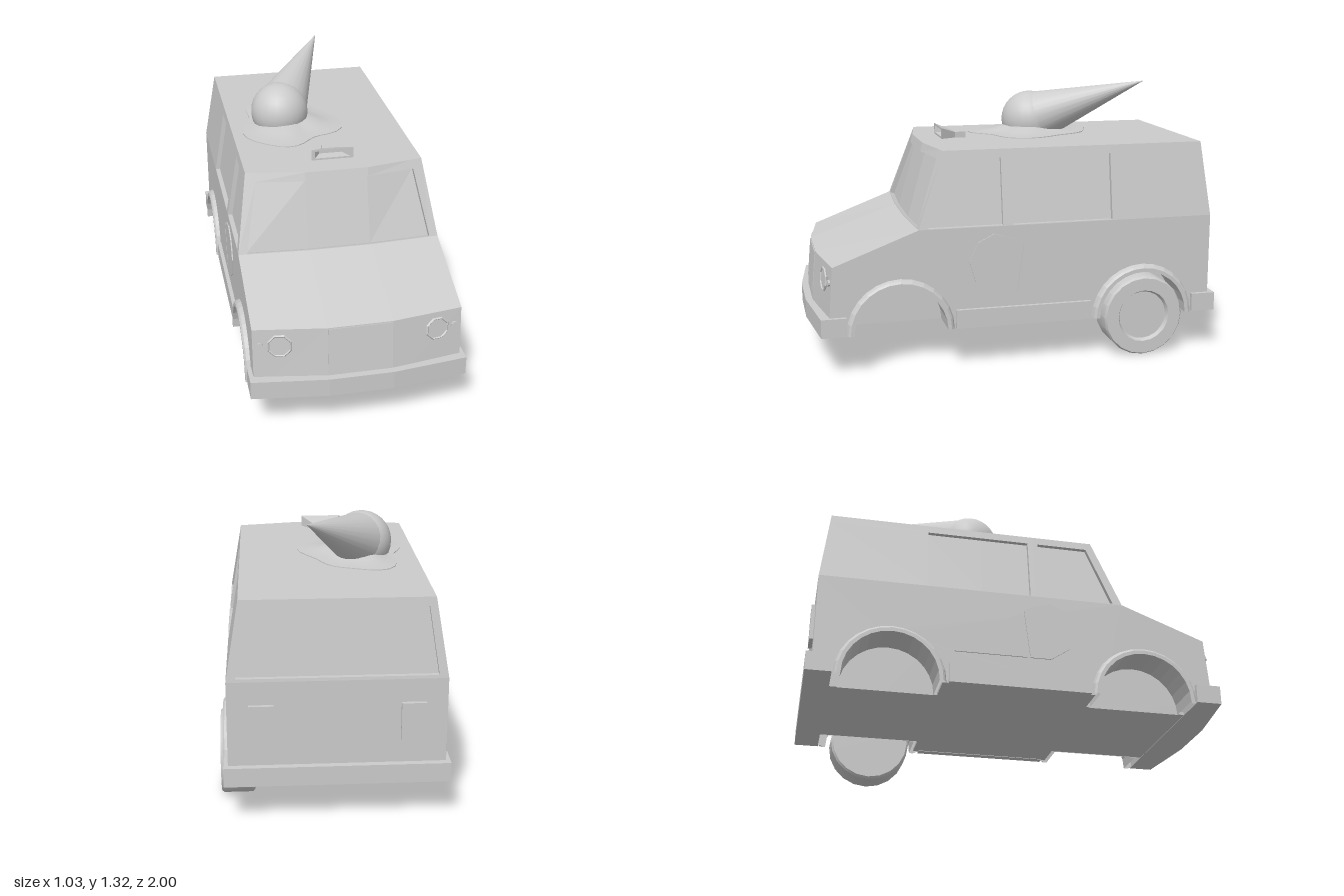
import * as THREE from 'three';
import { toCreasedNormals } from 'three/addons/utils/BufferGeometryUtils.js';

const smooth = new THREE.MeshStandardMaterial({ color: 0xcccccc, side: THREE.DoubleSide });
const flat = new THREE.MeshStandardMaterial({ color: 0xcccccc, side: THREE.DoubleSide, flatShading: true });
const V = (x, y, z) => new THREE.Vector3(x, y, z);

function add(parent, name, geometry, x = 0, y = 0, z = 0, material = flat) {
  const mesh = new THREE.Mesh(geometry, material);
  mesh.name = name;
  mesh.position.set(x, y, z);
  parent.add(mesh);
  return mesh;
}

// Flat faces from a list of four-cornered patches
function quads(list) {
  const pts = [];
  for (const [a, b, c, d] of list) pts.push(a, b, c, a, c, d);
  const g = new THREE.BufferGeometry().setFromPoints(pts);
  g.computeVertexNormals();
  return g;
}

// Skin over rows of points
function loft(rows) {
  const list = [];
  for (let j = 0; j + 1 < rows.length; j++)
    for (let i = 0; i + 1 < rows[j].length; i++)
      list.push([rows[j][i], rows[j][i + 1], rows[j + 1][i + 1], rows[j + 1][i]]);
  return quads(list);
}

// Framed panel between two edges, with a sunken pane; the first and last columns are the frame
function windowPanel(bottom, top, v0, v1, inward) {
  const rows = [0, v0, v1, 1].map(v => bottom.map((p, i) => p.clone().lerp(top[i], v)));
  const n = bottom.length, list = [];
  const low = rows[1].map(p => p.clone().add(inward)), high = rows[2].map(p => p.clone().add(inward));
  for (let j = 0; j < 3; j++)
    for (let i = 0; i + 1 < n; i++) {
      if (j === 1 && i > 0 && i < n - 2) {
        list.push([low[i], low[i + 1], high[i + 1], high[i]]);
        list.push([rows[1][i], rows[1][i + 1], low[i + 1], low[i]]);
        list.push([high[i], high[i + 1], rows[2][i + 1], rows[2][i]]);
      } else list.push([rows[j][i], rows[j][i + 1], rows[j + 1][i + 1], rows[j + 1][i]]);
    }
  for (const i of [1, n - 2]) list.push([rows[1][i], low[i], high[i], rows[2][i]]);
  return quads(list);
}

// Row of points across the bowed front
const bow = (y, half, zMid, zSide) =>
  [V(-half, y, zSide), V(-0.15, y, zMid), V(0.15, y, zMid), V(half, y, zSide)];

// Bowed row with two extra columns for the windscreen frame
function bowFramed(y, half, zMid, zSide, pane) {
  const r = bow(y, half, zMid, zSide);
  const t = (pane - 0.15) / (half - 0.15);
  return [r[0], r[1].clone().lerp(r[0], t), r[1], r[2], r[2].clone().lerp(r[3], t), r[3]];
}

const WELLS = [0.58, -0.62], HALF = 0.485, ROOF = 0.425, WAIST = 0.685, TOP = 1.045;

function bodySide() {
  const g = new THREE.Group();
  // Lower side with round wheel openings, drawn as (z, y)
  const s = new THREE.Shape();
  s.moveTo(0.92, 0.2);
  s.lineTo(0.895, 0.53);
  s.lineTo(0.49, WAIST);
  s.lineTo(-0.97, WAIST);
  s.lineTo(-0.97, 0.2);
  for (const z of [...WELLS].reverse()) s.absarc(z, 0.2, 0.235, Math.PI, 0, true);
  add(g, 'lowerSide', new THREE.ShapeGeometry(s, 8).rotateY(-Math.PI / 2), HALF);

  // Upper side: door window and cargo window
  const row = (x, y, zs) => zs.map(z => V(x, y, z));
  const inward = V(-0.022, 0, 0);
  add(g, 'doorWindow', windowPanel(row(HALF, WAIST, [0.49, 0.445, 0.085, 0.06]),
    row(ROOF, TOP, [0.36, 0.32, 0.085, 0.06]), 0.01, 0.89, inward));
  add(g, 'cargoWindow', windowPanel(row(HALF, WAIST, [0.06, 0.035, -0.2, -0.46, -0.97]),
    row(ROOF, TOP, [0.06, 0.035, -0.2, -0.46, -0.93]), 0.01, 0.89, inward));

  // Flared arch and wheel well turned in one piece
  const profile = [[0.257, 0], [0.25, 0.018], [0.24, 0.026], [0.222, 0.026], [0.222, -0.16], [0, -0.16]]
    .map(p => new THREE.Vector2(...p));
  for (const z of WELLS)
    add(g, 'wheelArch', new THREE.LatheGeometry(profile, 14, -Math.PI / 2, Math.PI)
      .rotateX(-Math.PI / 2).rotateY(-Math.PI / 2), HALF, 0.2, z);

  add(g, 'sideSkirt', new THREE.BoxGeometry(0.04, 0.09, 0.67), 0.484, 0.245, -0.018);
  add(g, 'sideFloor', new THREE.BoxGeometry(0.16, 0.015, 0.72), 0.4, 0.21, -0.02);

  // Raised cone-and-scoop emblem
  const scoop = new THREE.Shape([[0.03, 0.36], [0.13, 0.36], [0.22, 0.42], [0.25, 0.52], [0.21, 0.61],
    [0.13, 0.65], [0.03, 0.62], [0, 0.6]].map(p => new THREE.Vector2(...p)));
  const cone = new THREE.Shape([[0.015, 0.36], [-0.015, 0.59], [-0.33, 0.36]].map(p => new THREE.Vector2(...p)));
  for (const [name, shape] of [['scoopPanel', scoop], ['conePanel', cone]])
    add(g, name, new THREE.ExtrudeGeometry(shape, { depth: 0.01, bevelEnabled: false })
      .rotateY(-Math.PI / 2), HALF + 0.006);

  // Front and rear lamps
  const turn = 0.148;
  const lamp = add(g, 'headlight', new THREE.CylinderGeometry(0.05, 0.05, 0.02, 8)
    .rotateY(Math.PI / 8).rotateX(Math.PI / 2), 0.365, 0.45, 0.916);
  const rim = add(g, 'headlightRim', new THREE.TorusGeometry(0.054, 0.006, 4, 8)
    .rotateZ(Math.PI / 8), 0.365, 0.45, 0.925);
  const signal = add(g, 'turnSignal', new THREE.CylinderGeometry(0.016, 0.016, 0.02, 10)
    .rotateX(Math.PI / 2), 0.452, 0.45, 0.906);
  for (const m of [lamp, rim, signal]) m.rotation.set(-0.07, turn, 0);
  add(g, 'tailLight', new THREE.BoxGeometry(0.11, 0.175, 0.03), 0.335, 0.49, -0.973);
  return g;
}

// Slab cut to a plan outline given as (x, z)
const slab = (points, h) => new THREE.ExtrudeGeometry(
  new THREE.Shape(points.map(p => new THREE.Vector2(...p))), { depth: h, bevelEnabled: false }).rotateX(Math.PI / 2);

function buildBody() {
  const body = new THREE.Group();
  body.name = 'vanBody';
  body.position.x = -0.008;
  const left = bodySide(), right = bodySide();
  left.name = 'leftSide';
  right.name = 'rightSide';
  right.scale.x = -1;
  body.add(left, right);

  add(body, 'noseAndHood', loft([bow(0.2, HALF, 0.975, 0.92), bow(0.53, HALF, 0.945, 0.895), bow(WAIST, HALF, 0.51, 0.49)]));
  add(body, 'windscreen', windowPanel(bowFramed(WAIST, HALF, 0.51, 0.49, 0.444),
    bowFramed(TOP, ROOF, 0.41, 0.36, 0.372), 0.01, 0.885, V(0, -0.008, -0.022)));
  add(body, 'roof', loft([bow(TOP, ROOF, 0.41, 0.36), bow(TOP, ROOF, -0.93, -0.93)]));
  const rear = (half, pane, y, z) => [-half, -pane, pane, half].map(x => V(x, y, z));
  add(body, 'rearWindow', windowPanel(rear(HALF, 0.445, WAIST, -0.97), rear(ROOF, 0.39, TOP, -0.93), 0.04, 0.89, V(0, 0, 0.022)));
  add(body, 'rearWall', quads([[V(HALF, 0.2, -0.97), V(-HALF, 0.2, -0.97), V(-HALF, WAIST, -0.97), V(HALF, WAIST, -0.97)]]));
  add(body, 'floor', new THREE.BoxGeometry(0.65, 0.015, 1.85), 0, 0.21, -0.02);
  const grille = add(body, 'grillePanel', new THREE.BoxGeometry(0.297, 0.19, 0.012), 0, 0.43, 0.952);
  grille.rotation.x = -0.09;

  add(body, 'frontBumper', slab([[-0.505, 0.835], [0.505, 0.835], [0.505, 0.955], [0.15, 1], [-0.15, 1], [-0.505, 0.955]], 0.09), 0, 0.29);
  add(body, 'rearBumper', slab([[-0.505, -1], [0.505, -1], [0.505, -0.88], [-0.505, -0.88]], 0.09), 0, 0.29);
  return body;
}

// Roof horn: flared square mouth with a hollow front
function buildHorn() {
  const ring = (half, y0, y1, z) => [[-half, y0], [half, y0], [half, y1], [-half, y1], [-half, y0]].map(([x, y]) => V(x, y, z));
  return loft([ring(0.001, 1.06, 1.062, 0.17), ring(0.028, 1.045, 1.076, 0.17), ring(0.035, 1.048, 1.076, 0.225),
    ring(0.102, 1.053, 1.106, 0.305), ring(0.085, 1.062, 1.097, 0.305), ring(0.055, 1.066, 1.088, 0.26), ring(0.001, 1.075, 1.077, 0.26)]);
}

// Melted puddle with a wavy outline, thick in the middle
function buildPuddle() {
  const rows = [[0, 0.037], [0.42, 0.034], [0.62, 0.015], [0.85, 0.006], [1, 0.004], [1, -0.002]].map(([k, h]) =>
    Array.from({ length: 37 }, (_, i) => {
      const a = i / 36 * Math.PI * 2;
      const r = k * (0.28 + 0.035 * Math.sin(3 * a + 1) + 0.02 * Math.sin(5 * a));
      return V(-0.14 + r * Math.cos(a) * 0.85, TOP + h, -0.2 + r * Math.sin(a) * 1.1);
    }));
  return toCreasedNormals(loft(rows), 0.7);
}

export function createModel() {
  const model = new THREE.Group();
  model.name = 'iceCreamVan';
  model.add(buildBody());

  // Single rear wheel with a sunken hub
  const tyre = [[0, -0.155], [0.19, -0.155], [0.2, -0.145], [0.2, -0.012], [0.192, 0], [0.13, 0], [0.12, -0.02], [0, -0.02]]
    .map(p => new THREE.Vector2(...p));
  add(model, 'rearWheel', toCreasedNormals(new THREE.LatheGeometry(tyre, 20).rotateZ(-Math.PI / 2), 0.6),
    0.515, 0.2, -0.62, smooth);

  // Tipped-over ice cream on the roof
  add(model, 'roofHorn', buildHorn(), -0.006);
  add(model, 'meltedPuddle', buildPuddle(), 0, 0, 0, smooth);
  const scoop = V(-0.175, 1.107, -0.215), tip = V(0.115, 1.32, -0.74);
  add(model, 'iceCreamScoop', new THREE.SphereGeometry(0.145, 24, 16), ...scoop, smooth);
  const axis = tip.clone().sub(scoop), length = axis.length() - 0.02;
  const cone = add(model, 'waferCone', new THREE.ConeGeometry(0.137, length, 24),
    ...tip.clone().addScaledVector(axis.normalize(), -length / 2), smooth);
  cone.quaternion.setFromUnitVectors(V(0, 1, 0), axis);
  return model;
}
